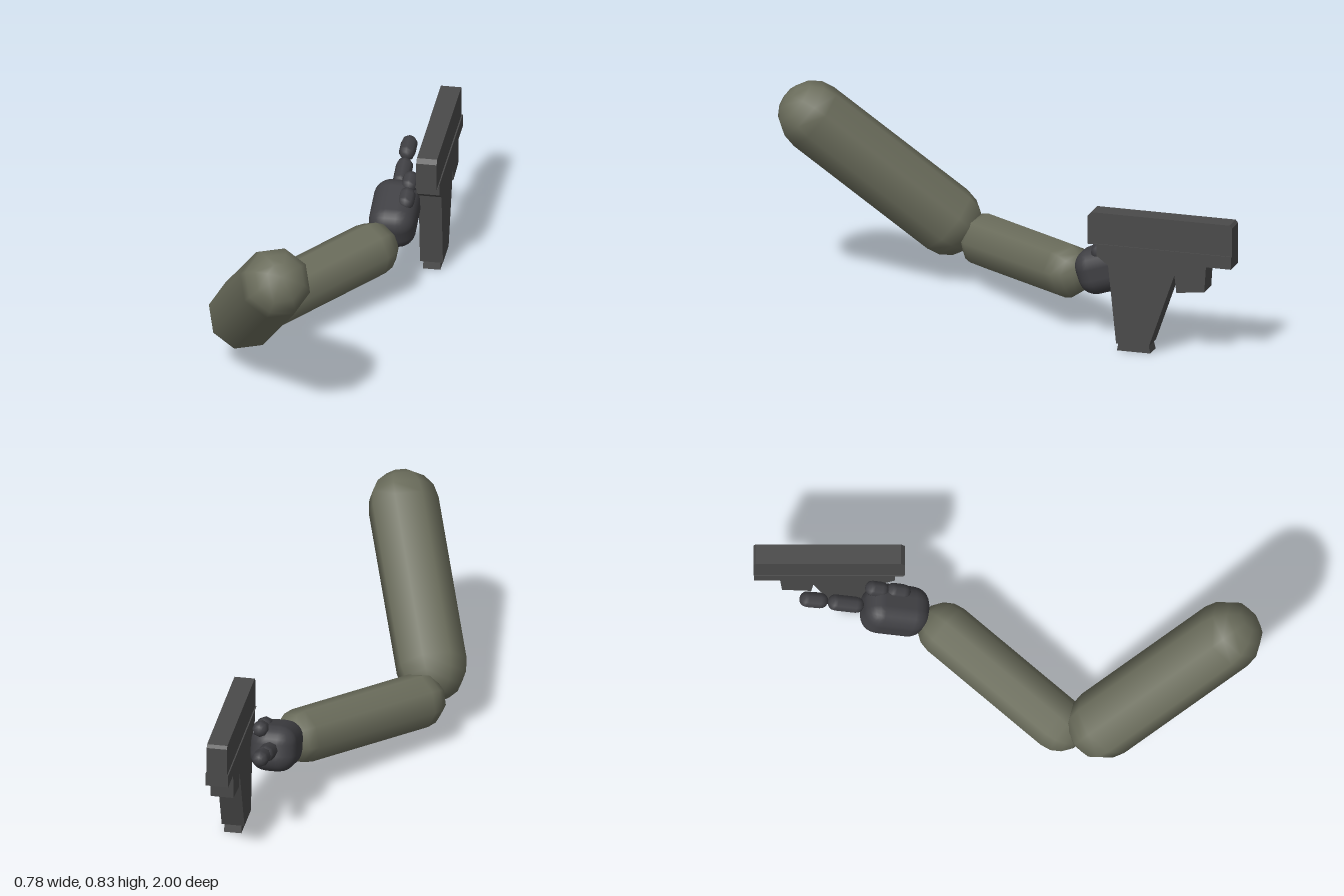
import * as THREE from 'three';
import { RoundedBoxGeometry } from 'three/addons/geometries/RoundedBoxGeometry.js';

function material(name, color) {
  const m = new THREE.MeshStandardMaterial({ color });
  m.name = name;
  return m;
}

export function createModel() {
  const model = new THREE.Group();
  const sleeve = material('olive sleeve', 0x6b6d5c);
  const glove = material('dark glove', 0x3f3f43);
  const metal = material('gunmetal', 0x4a4a4a);

  const add = (parent, name, geometry, mat) => {
    const mesh = new THREE.Mesh(geometry, mat);
    mesh.name = name;
    parent.add(mesh);
    return mesh;
  };

  // Capsule whose cap centres sit on the two given points
  const limb = (parent, name, a, b, radius, mat, sides = 8) => {
    const from = new THREE.Vector3(...a), to = new THREE.Vector3(...b);
    const dir = to.clone().sub(from);
    const mesh = add(parent, name, new THREE.CapsuleGeometry(radius, dir.length(), 4, sides), mat);
    mesh.position.copy(from).add(to).multiplyScalar(0.5);
    mesh.quaternion.setFromUnitVectors(new THREE.Vector3(0, 1, 0), dir.normalize());
    return mesh;
  };

  // Side profile of [forward, y] points, extruded across x
  const plate = (parent, name, points, x0, x1) => {
    const shape = new THREE.Shape(points.map(([u, v]) => new THREE.Vector2(u, v)));
    const geometry = new THREE.ExtrudeGeometry(shape, { depth: x1 - x0, bevelEnabled: false });
    geometry.rotateY(Math.PI / 2).translate(x0, 0, 0);
    return add(parent, name, geometry, metal);
  };

  // Arm
  const arm = new THREE.Group();
  arm.name = 'arm';
  limb(arm, 'upperArm', [-0.045, 0.697, 0.857], [-0.25, 0.257, 0.372], 0.143, sleeve);
  limb(arm, 'forearm', [-0.228, 0.19, 0.2], [0.15, 0.232, -0.245], 0.111, sleeve);
  model.add(arm);

  // Gloved hand, tilted up toward the fingers
  const hand = new THREE.Group();
  hand.name = 'hand';
  const palm = add(hand, 'palm', new RoundedBoxGeometry(0.185, 0.185, 0.265, 3, 0.07), glove);
  palm.position.set(0.213, 0.288, -0.446);
  palm.rotation.x = 0.32;
  limb(hand, 'indexBase', [0.213, 0.346, -0.60], [0.213, 0.370, -0.675], 0.034, glove);
  limb(hand, 'indexTip', [0.213, 0.395, -0.74], [0.213, 0.407, -0.787], 0.033, glove);
  limb(hand, 'thumbBase', [0.262, 0.359, -0.415], [0.262, 0.371, -0.447], 0.033, glove);
  limb(hand, 'thumbTip', [0.262, 0.388, -0.5], [0.262, 0.399, -0.53], 0.032, glove);
  model.add(hand);

  // Pistol
  const pistol = new THREE.Group();
  pistol.name = 'pistol';
  plate(pistol, 'slide', [
    [0.405, 0.43], [1.0, 0.43], [1.0, 0.55], [0.99, 0.562], [0.42, 0.562], [0.405, 0.545],
  ], 0.305, 0.386);
  plate(pistol, 'frame', [
    [0.41, 0.432], [0.445, 0.432], [0.445, 0.385], [0.492, 0.35], [0.525, 0.032],
    [0.66, 0.032], [0.765, 0.335], [0.773, 0.265], [0.888, 0.277], [0.895, 0.382],
    [0.998, 0.382], [0.998, 0.434], [0.41, 0.434],
  ], 0.3, 0.391);
  plate(pistol, 'magazineBase', [
    [0.525, 0], [0.663, 0], [0.655, 0.034], [0.532, 0.034],
  ], 0.312, 0.381);
  model.add(pistol);

  return model;
}
